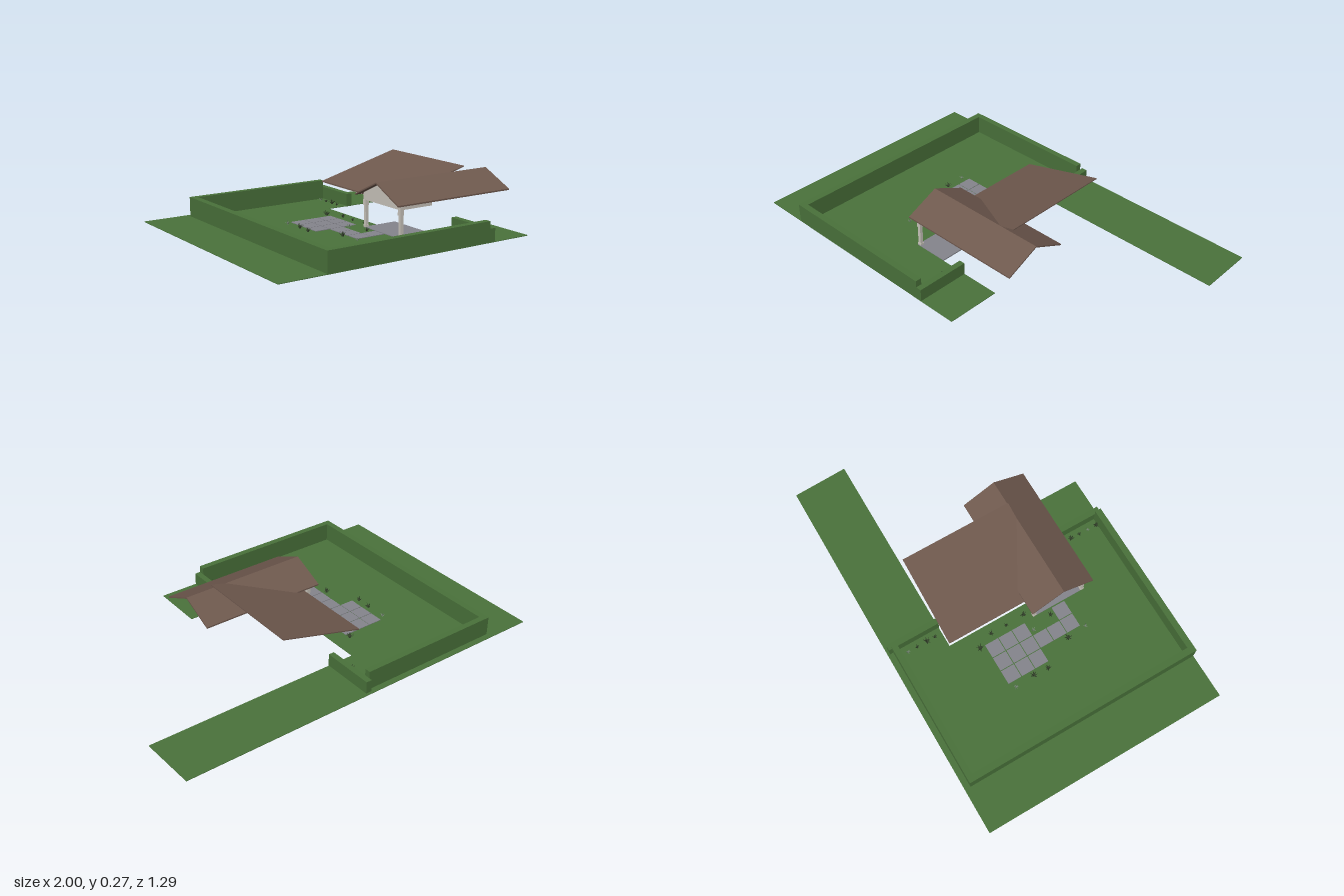
import * as THREE from 'three';
import { mergeGeometries } from 'three/addons/utils/BufferGeometryUtils.js';

const mat = (name, color, side = THREE.FrontSide) => {
  const m = new THREE.MeshStandardMaterial({ color, side });
  m.name = name;
  return m;
};

const shapeOf = (pts) => new THREE.Shape(pts.map(([a, b]) => new THREE.Vector2(a, b)));
const extrude = (pts, depth) =>
  new THREE.ExtrudeGeometry(shapeOf(pts), { depth, bevelEnabled: false });

// Box given by its limits on each axis
function box(x0, x1, y0, y1, z0, z1) {
  return new THREE.BoxGeometry(x1 - x0, y1 - y0, z1 - z0)
    .translate((x0 + x1) / 2, (y0 + y1) / 2, (z0 + z1) / 2);
}

// Cross-section in (z, y) swept along x
const alongX = (pts, x0, x1) => extrude(pts, x1 - x0).rotateY(-Math.PI / 2).translate(x1, 0, 0);

// Cross-section in (x, y) swept along z
const alongZ = (pts, z0, z1) => extrude(pts, z1 - z0).translate(0, 0, z0);

// Small clump of outward-leaning pointed leaves
function plantGeometry(x, z, size, turn) {
  const leaves = [];
  for (let i = 0; i < 9; i++) {
    const leaf = new THREE.ConeGeometry(size * 0.2, size, 4)
      .scale(1, 1, 0.35)
      .translate(0, size / 2, 0)
      .rotateX(i % 3 === 0 ? 0.3 : 0.85)
      .rotateY(turn + i * 2.4)
      .translate(x, 0.003, z);
    leaves.push(leaf);
  }
  return mergeGeometries(leaves);
}

export function createModel() {
  const group = new THREE.Group();
  const grass = mat('grass green', 0x4a733b);
  const hedgeGreen = mat('hedge green', 0x49713a);
  const brown = mat('roof brown', 0x6f594e);
  const cream = mat('cream plaster', 0xc9c4bb);
  const stone = mat('paving grey', 0x85858d);
  const leafDark = mat('dark leaf', 0x38482f);
  const leafPale = mat('pale leaf', 0x7d917a);

  const add = (name, geometry, material) => {
    const m = new THREE.Mesh(geometry, material);
    m.name = name;
    group.add(m);
    return m;
  };

  // Lawn wraps around the open house footprint
  const lawn = [
    [-1, -0.645], [0.99, -0.645], [1, -0.36], [-0.12, -0.36], [-0.12, 0.08],
    [-0.2, 0.08], [-0.2, 0.37], [0.325, 0.37], [0.325, 0.645], [-1, 0.645],
  ];
  add('lawn', extrude(lawn, 0.003).rotateX(Math.PI / 2).translate(0, 0.003, 0), grass);

  // Tall hedge on three sides, one U-shaped piece
  const hedge = [
    [-0.77, -0.615], [-0.01, -0.615], [-0.01, -0.585], [-0.737, -0.585],
    [-0.737, 0.613], [0.095, 0.613], [0.095, 0.645], [-0.77, 0.645],
  ];
  add('tallHedge', extrude(hedge, 0.1).rotateX(Math.PI / 2).translate(0, 0.101, 0), hedgeGreen);

  // Low hedges between the tall hedge and the house
  add('backLowHedge', box(-0.01, 0.02, 0, 0.066, -0.632, -0.357), hedgeGreen);
  add('frontLowHedge', box(0.095, 0.125, 0, 0.066, 0.37, 0.645), hedgeGreen);

  // Paving: a square terrace and a path to the porch
  const step = 0.0767;
  const slabs = [[1, 3], [1, 4], [1, 5], [2, 5]];
  for (let c = 0; c < 3; c++) for (let r = 0; r < 3; r++) slabs.push([c, r]);
  const paving = slabs.map(([c, r]) => {
    const x = -0.435 + c * step, z = -0.21 + r * step;
    return box(x + 0.002, x + step - 0.002, 0.001, 0.006, z + 0.002, z + step - 0.002);
  });
  add('pavingSlabs', mergeGeometries(paving), stone);

  // Porch floor, posts and gabled attic
  add('porchFloor', box(-0.2, -0.02, 0, 0.006, 0.078, 0.37), stone);
  for (const z of [0.082, 0.358]) {
    const post = mergeGeometries([
      box(-0.199, -0.183, 0.006, 0.14, z - 0.008, z + 0.008),
      box(-0.201, -0.181, 0.112, 0.14, z - 0.01, z + 0.01),
      box(-0.201, -0.181, 0.006, 0.016, z - 0.01, z + 0.01),
    ]);
    add('porchPost', post, cream);
  }
  const ridgeZ = 0.2175;
  const attic = [
    [0.073, 0.138], [0.368, 0.138], [0.368, 0.169], [ridgeZ, 0.239], [0.073, 0.171],
  ];
  add('porchAttic', alongX(attic, -0.2, -0.02), cream);

  // Gable roof over the front wing
  const chevron = [
    [0.39, 0.159], [0.39, 0.166], [ridgeZ, 0.246], [0.045, 0.166], [0.045, 0.159], [ridgeZ, 0.239],
  ];
  add('frontRoof', alongX(chevron, -0.23, 0.435), brown);

  // Single sloping roof over the back wing, with its eave board
  const slope = [[-0.15, 0.144], [0.295, 0.263], [0.295, 0.268], [-0.15, 0.15]];
  add('backRoof', alongZ(slope, -0.37, ridgeZ), brown);
  add('eaveBoard', box(-0.138, -0.115, 0.138, 0.15, -0.352, 0.08), cream);

  // Planting along the hedges, terrace and path: x, z, size
  const plants = [
    [-0.045, -0.55, 0.015], [-0.045, -0.5, 0.016], [-0.045, -0.445, 0.024], [-0.045, -0.4, 0.016],
    [-0.21, -0.235, 0.026], [-0.17, -0.15, 0.02], [-0.17, -0.065, 0.016], [-0.165, 0.035, 0.022],
    [-0.465, -0.185, 0.018], [-0.46, -0.08, 0.024], [-0.465, 0, 0.022], [-0.26, 0.04, 0.018],
    [-0.38, 0.165, 0.025], [-0.37, 0.27, 0.015], [-0.235, 0.15, 0.02],
    [0.06, 0.405, 0.018], [0.06, 0.455, 0.024], [0.06, 0.505, 0.016], [0.06, 0.555, 0.015],
    [0.06, 0.605, 0.024],
  ];
  plants.forEach(([x, z, s], i) => {
    add('plant', plantGeometry(x, z, s * 1.1, i), s < 0.0155 || s === 0.018 ? leafPale : leafDark);
  });

  return group;
}
